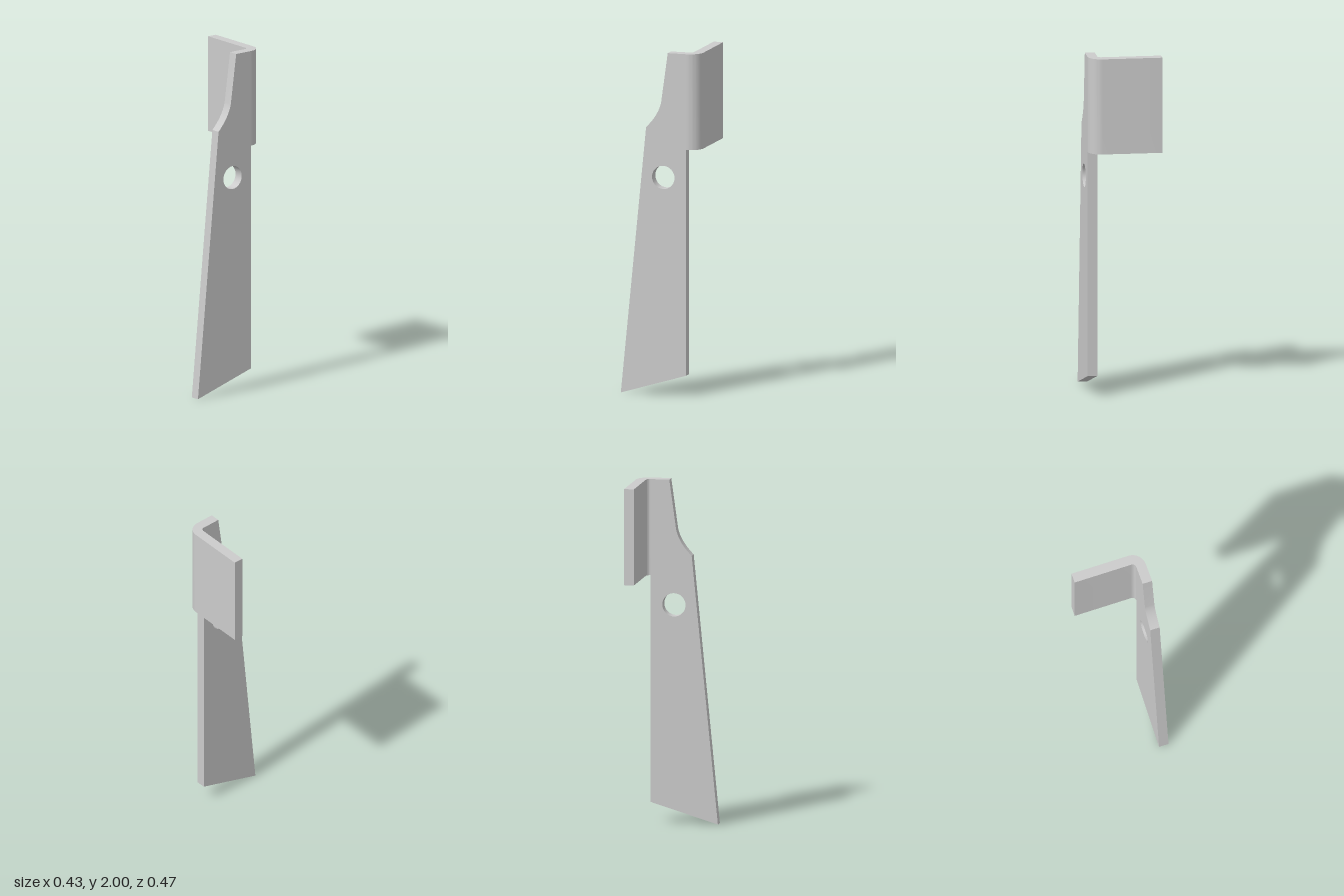
import * as THREE from 'three';
import { toCreasedNormals } from 'three/addons/utils/BufferGeometryUtils.js';

const SEAM = -0.158;      // z where the flat blade meets the bend
const FLANGE_Y = 1.44;    // lower edge of the bent flange
const INNER_X = 0.151;    // inner face of the blade at the seam
const THICK = 0.057;

// Remove triangles whose three corners all pass the test
function dropFaces(geo, test) {
  const p = geo.attributes.position, kept = [];
  for (let i = 0; i < p.count; i += 3) {
    const tri = [0, 1, 2].map(k => new THREE.Vector3().fromBufferAttribute(p, i + k));
    if (!tri.every(test)) tri.forEach(v => kept.push(v.x, v.y, v.z));
  }
  const out = new THREE.BufferGeometry();
  out.setAttribute('position', new THREE.Float32BufferAttribute(kept, 3));
  return out;
}

// Tapered blade with shoulder and bolt hole, drawn in (-z, y)
function bladeGeometry() {
  const s = new THREE.Shape();
  s.moveTo(-0.236, 0);
  s.lineTo(-SEAM, 0.12);
  s.lineTo(-SEAM, FLANGE_Y);
  s.lineTo(-SEAM, 2);
  s.lineTo(0.048, 2);
  s.lineTo(0.008, 1.71);
  s.quadraticCurveTo(-0.008, 1.635, -0.083, 1.56);
  s.closePath();
  s.holes.push(new THREE.Path().absarc(0.021, 1.272, 0.068, 0, Math.PI * 2, true));
  const geo = new THREE.ExtrudeGeometry(s, { depth: THICK, bevelEnabled: false, curveSegments: 16 });
  geo.rotateY(Math.PI / 2);
  // The blade leans outward slightly toward the front
  const p = geo.attributes.position;
  for (let i = 0; i < p.count; i++) {
    p.setX(i, p.getX(i) + INNER_X + (p.getZ(i) - SEAM) * 0.0145);
  }
  // Open the wall where the flange joins
  return dropFaces(geo, v => v.z < SEAM + 1e-4 && v.y > FLANGE_Y - 1e-4);
}

// Rounded bend and flat flange, drawn in (x, -z)
function flangeGeometry() {
  const ri = 0.022, ro = ri + THICK, cx = INNER_X - ri, cy = -SEAM;
  const s = new THREE.Shape();
  s.moveTo(-0.215, cy + ro);
  s.lineTo(cx, cy + ro);
  s.absarc(cx, cy, ro, Math.PI / 2, 0, true);
  s.lineTo(cx + ri, cy);
  s.absarc(cx, cy, ri, 0, Math.PI / 2, false);
  s.lineTo(-0.215, cy + ri);
  s.closePath();
  const geo = new THREE.ExtrudeGeometry(s, { depth: 2 - FLANGE_Y, bevelEnabled: false, curveSegments: 8 });
  geo.rotateX(-Math.PI / 2);
  geo.translate(0, FLANGE_Y, 0);
  return dropFaces(geo, v => v.z > SEAM - 1e-4);
}

export function createModel() {
  const group = new THREE.Group();
  group.name = 'bentBlade';
  const material = new THREE.MeshStandardMaterial({ color: 0xcccccc });
  for (const [name, geo] of [['blade', bladeGeometry()], ['mountingFlange', flangeGeometry()]]) {
    const mesh = new THREE.Mesh(toCreasedNormals(geo, Math.PI / 6), material);
    mesh.name = name;
    group.add(mesh);
  }
  return group;
}
